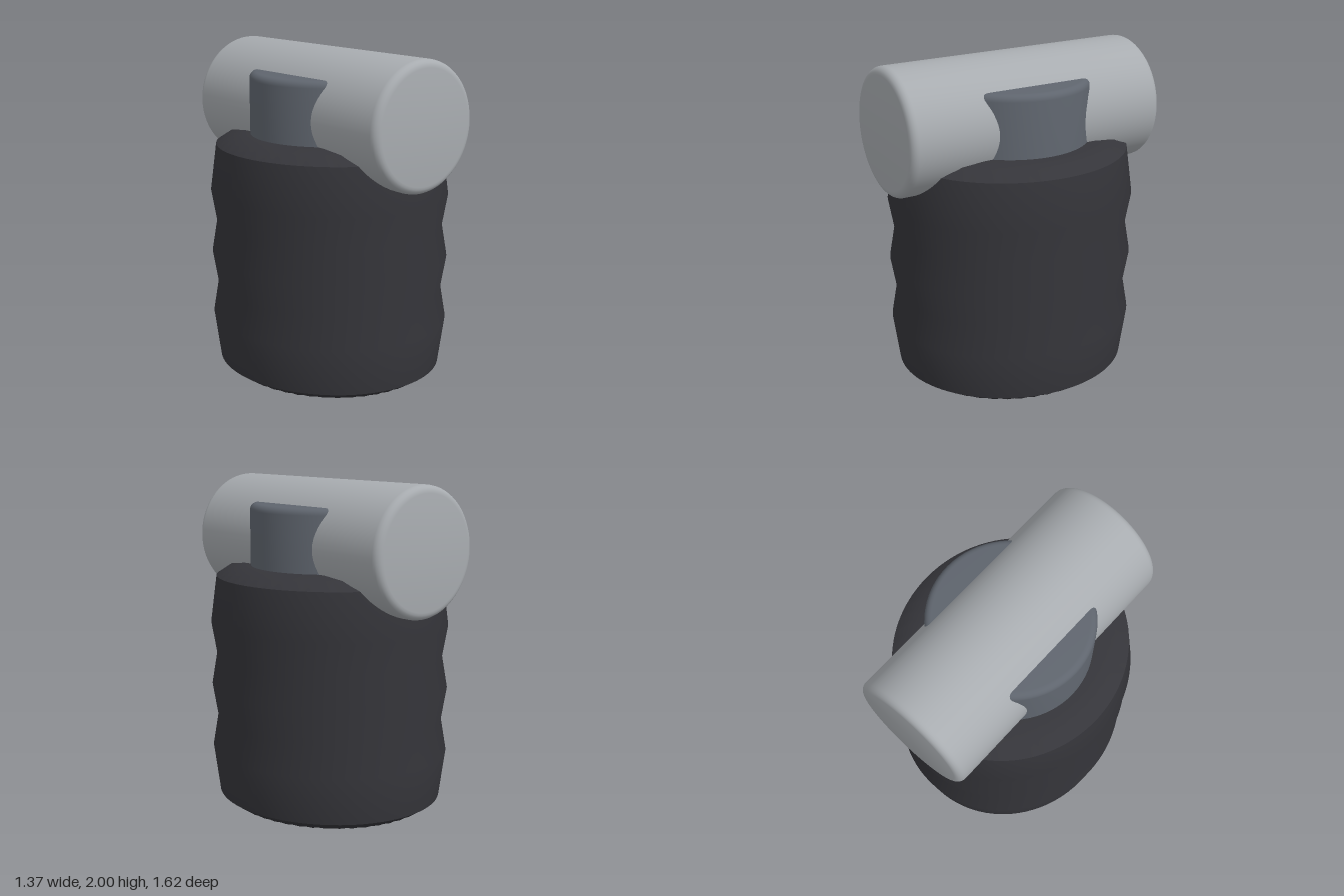
import * as THREE from 'three';
import { toCreasedNormals } from 'three/addons/utils/BufferGeometryUtils.js';

const mat = (name, color) => {
  const m = new THREE.MeshStandardMaterial({ color });
  m.name = name;
  return m;
};

// Closed cylinder along y with rounded rims
function roundedCylinder(radius, y0, y1, bevel, segments) {
  const pts = [new THREE.Vector2(0, y0)];
  const arc = (cy, from) => {
    for (let i = 0; i <= 5; i++) {
      const a = from + (i / 5) * Math.PI / 2;
      pts.push(new THREE.Vector2(radius - bevel + bevel * Math.cos(a), cy + bevel * Math.sin(a)));
    }
  };
  arc(y0 + bevel, -Math.PI / 2);
  arc(y1 - bevel, 0);
  pts.push(new THREE.Vector2(0, y1));
  return toCreasedNormals(new THREE.LatheGeometry(pts, segments), 0.6);
}

// Oval ribbed sleeve with slightly crinkled chamfers
function gripGeometry() {
  const profile = [
    [0.40, 0.04], [0.48, 0.04], [0.58, 0.055], [0.65, 0.105],
    [0.686, 0.385], [0.655, 0.575], [0.686, 0.77], [0.655, 0.96], [0.686, 1.15],
    [0.65, 1.43], [0.58, 1.478], [0.48, 1.494], [0.40, 1.494],
  ].map(([r, y]) => new THREE.Vector2(r, y));
  const segments = 96;
  const geo = new THREE.LatheGeometry(profile, segments);
  const p = geo.attributes.position;
  for (let i = 0; i < p.count; i++) {
    const ring = Math.floor(i / profile.length);
    const row = i % profile.length;
    const crinkled = row === 2 || row === profile.length - 3;
    const k = crinkled && ring % 2 ? 0.985 : 1;
    p.setX(i, p.getX(i) * k);
    p.setZ(i, p.getZ(i) * k * 1.083);
  }
  return toCreasedNormals(geo, 0.55);
}

export function createModel() {
  const group = new THREE.Group();
  const add = (name, geometry, material) => {
    const mesh = new THREE.Mesh(geometry, material);
    mesh.name = name;
    group.add(mesh);
    return mesh;
  };

  // Core running through the sleeve, showing at the base and the neck
  add('core', roundedCylinder(0.465, 0, 1.86, 0.04, 72), mat('slate grey', 0x5f656e));

  // Ribbed grip sleeve
  add('grip', gripGeometry(), mat('dark rubber', 0x35353a));

  // Horizontal barrel across the top, front to back
  const barrel = add('barrel', roundedCylinder(0.37, -0.81, 0.81, 0.045, 72), mat('light metal', 0xa8acb0));
  barrel.rotation.x = Math.PI / 2;
  barrel.position.y = 1.63;

  return group;
}
